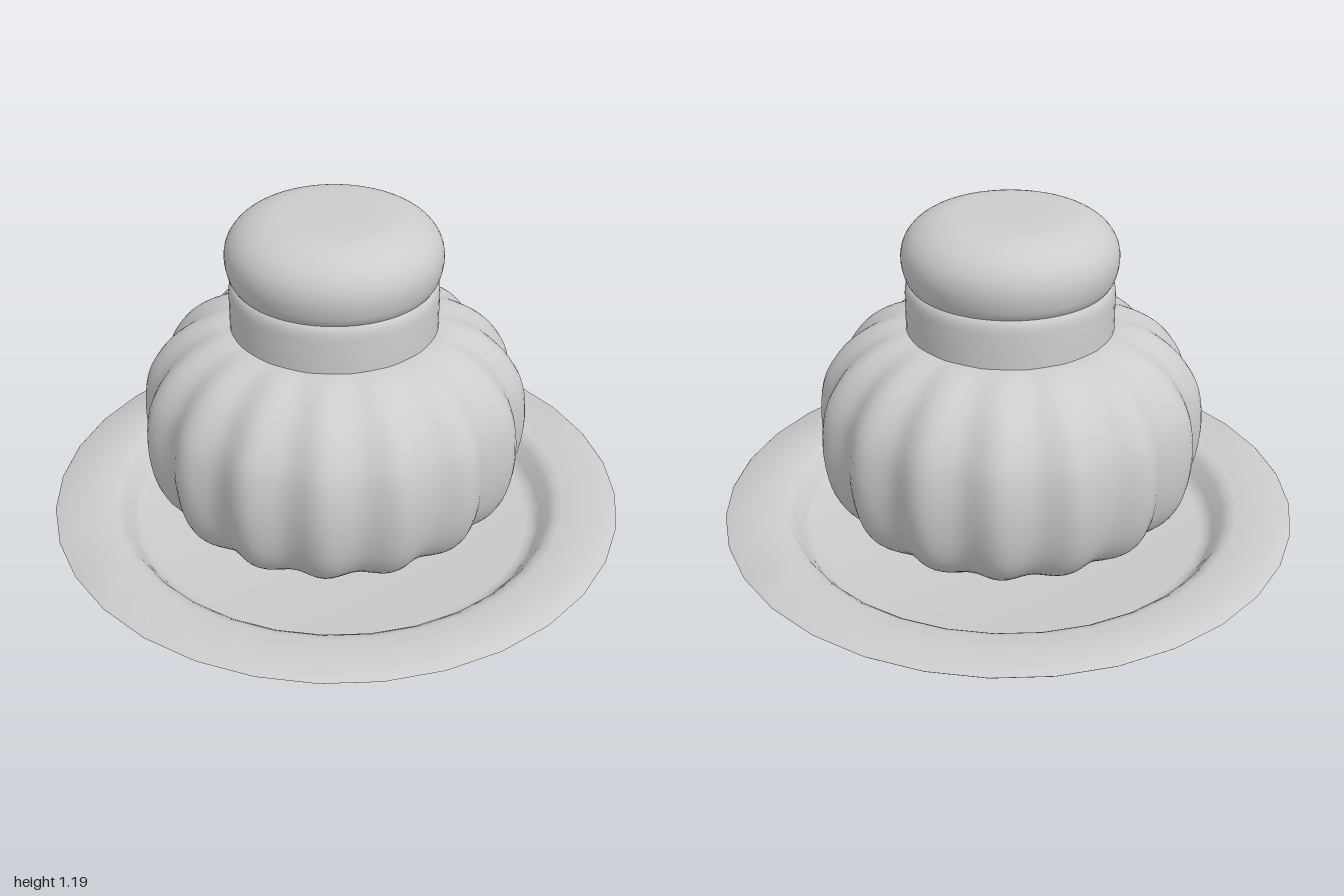
import * as THREE from 'three';
import { mergeVertices, toCreasedNormals } from 'three/addons/utils/BufferGeometryUtils.js';

const porcelain = new THREE.MeshStandardMaterial({ color: 0xcccccc });
porcelain.name = 'porcelain';

const toPoints = (pairs) => pairs.map(([r, y]) => new THREE.Vector2(r, y));
const smoothProfile = (pairs, n) => new THREE.SplineCurve(toPoints(pairs)).getPoints(n);

function addPart(group, name, geometry, x = 0) {
  const mesh = new THREE.Mesh(geometry, porcelain);
  mesh.name = name;
  mesh.position.x = x;
  group.add(mesh);
}

// Lathe whose ribs are pressed in between evenly spaced lobes
function ribbedLathe(points, segments, lobes, depth) {
  let g = new THREE.LatheGeometry(points, segments);
  const p = g.attributes.position;
  for (let i = 0; i < p.count; i++) {
    const angle = Math.atan2(p.getX(i), p.getZ(i));
    const k = 1 - depth * (0.5 + 0.5 * Math.cos(lobes * angle));
    p.setX(i, p.getX(i) * k);
    p.setZ(i, p.getZ(i) * k);
  }
  g.deleteAttribute('uv');
  g.deleteAttribute('normal');
  g = mergeVertices(g);
  g.computeVertexNormals();
  return g;
}

export function createModel() {
  const model = new THREE.Group();
  model.name = 'jarOnSaucer';
  const jarX = -0.007;

  // Saucer: underside, thin flat rim, then the sunken floor
  const saucer = toPoints([
    [0, 0], [0.68, 0], [0.71, 0.006], [0.735, 0.025], [0.765, 0.07], [0.785, 0.089], [0.82, 0.098],
    [0.995, 0.1], [1, 0.105], [0.995, 0.11], [0.81, 0.108], [0.785, 0.1], [0.765, 0.085],
    [0.735, 0.04], [0.715, 0.02], [0.69, 0.014], [0, 0.014],
  ]);
  addPart(model, 'saucer', toCreasedNormals(new THREE.LatheGeometry(saucer, 32), 0.9));

  // Pumpkin-shaped body with sixteen lobes
  const body = smoothProfile([
    [0, 0.03], [0.2, 0.033], [0.36, 0.05], [0.46, 0.08], [0.53, 0.115], [0.6, 0.18], [0.645, 0.28],
    [0.663, 0.42], [0.645, 0.56], [0.59, 0.66], [0.52, 0.728], [0.44, 0.772], [0.37, 0.79], [0.3, 0.792],
  ], 44);
  addPart(model, 'body', ribbedLathe(body, 160, 16, 0.055), jarX);

  // Straight neck, drawn in slightly under the lid
  const neck = toPoints([
    [0.35, 0.77], [0.35, 0.91], [0.348, 0.93], [0.343, 0.945], [0.334, 0.956], [0, 0.956],
  ]);
  addPart(model, 'neck', toCreasedNormals(new THREE.LatheGeometry(neck, 64), 0.9), jarX);

  // Cushion-shaped lid
  const lid = smoothProfile([
    [0.335, 0.953], [0.35, 0.98], [0.36, 1.035], [0.352, 1.085], [0.325, 1.127],
    [0.285, 1.157], [0.24, 1.175], [0.19, 1.184], [0.1, 1.186], [0, 1.186],
  ], 30);
  lid.unshift(new THREE.Vector2(0, 0.953));
  addPart(model, 'lid', toCreasedNormals(new THREE.LatheGeometry(lid, 64), 0.9), jarX);

  return model;
}
